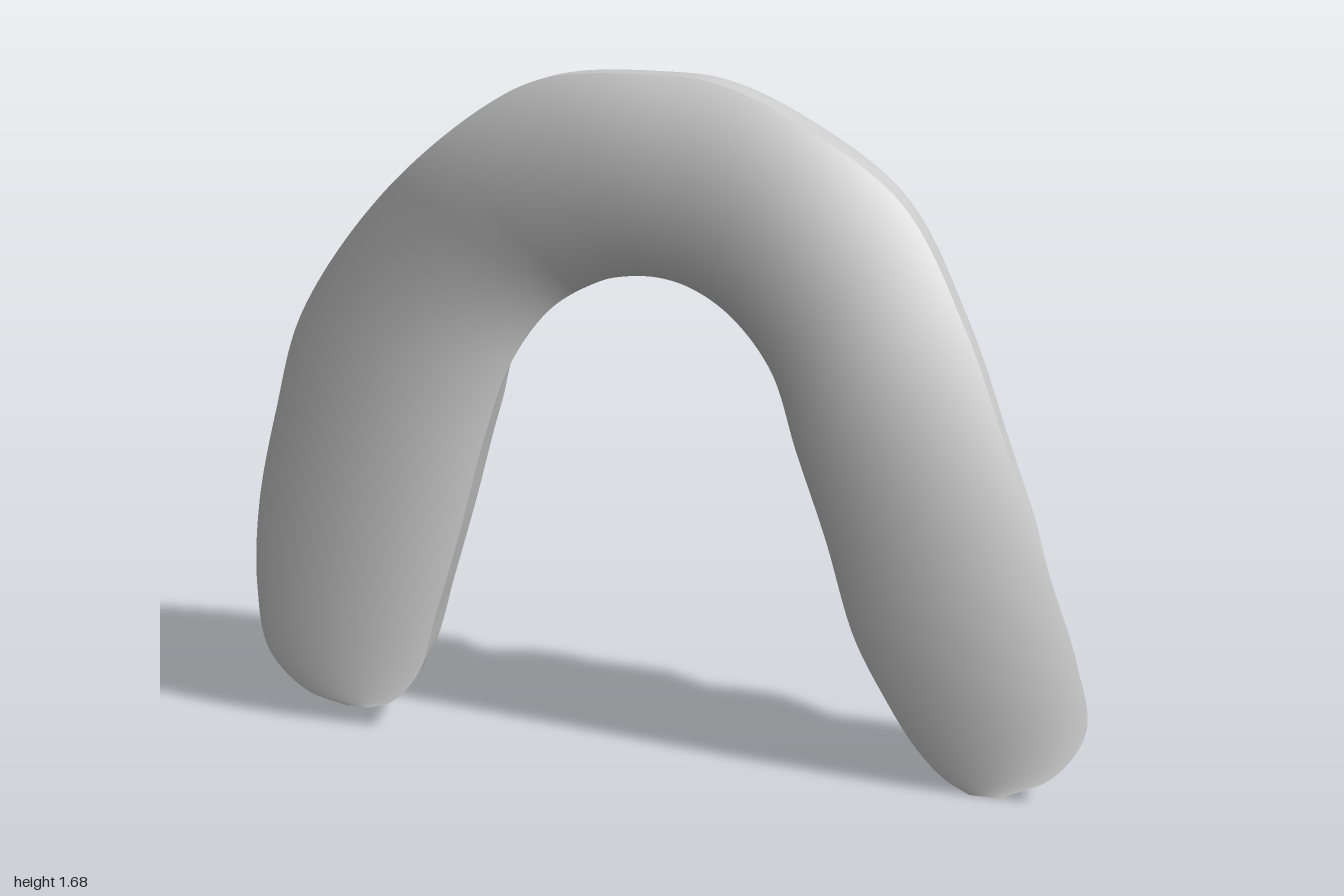
import * as THREE from 'three';

// Stations along the arch: outer rim x, y, inner rim x, y, height (z) of the ridge
const STATIONS = [
  [-0.79, 0.05, -0.73, 0.05, -0.11], [-0.89, 0.08, -0.67, 0.075, -0.12],
  [-0.98, 0.18, -0.60, 0.16, -0.135], [-1.00, 0.35, -0.55, 0.32, -0.145],
  [-0.98, 0.57, -0.48, 0.55, -0.15], [-0.92, 0.82, -0.41, 0.80, -0.15],
  [-0.84, 1.07, -0.34, 0.99, -0.135], [-0.63, 1.37, -0.24, 1.13, -0.125],
  [-0.38, 1.59, -0.13, 1.20, -0.13], [-0.24, 1.66, -0.08, 1.215, -0.13],
  [0.00, 1.68, 0.00, 1.22, -0.13], [0.13, 1.67, 0.08, 1.20, -0.14],
  [0.30, 1.60, 0.17, 1.14, -0.155], [0.54, 1.43, 0.26, 1.02, -0.17],
  [0.69, 1.15, 0.32, 0.83, -0.19], [0.80, 0.85, 0.39, 0.62, -0.20],
  [0.91, 0.55, 0.46, 0.38, -0.18], [0.97, 0.37, 0.53, 0.24, -0.17],
  [1.00, 0.20, 0.61, 0.11, -0.17], [0.93, 0.07, 0.68, 0.035, -0.165],
  [0.81, 0.00, 0.74, 0.00, -0.15],
];

// Cross-section from outer rim over the ridge to inner rim: width share, height share
const SECTION = [
  [0, 0], [0.03, 0.3], [0.09, 0.55], [0.21, 0.78], [0.38, 0.94],
  [0.56, 1], [0.76, 0.96], [0.9, 0.76], [0.97, 0.4], [1, 0],
];

// Tooth sockets: centre x, y, radius across the arch, radius along the arch
const SOCKETS = [
  [0.10, 1.51, 0.12, 0.11], [0.30, 1.43, 0.13, 0.09], [0.45, 1.20, 0.15, 0.10],
  [0.59, 0.95, 0.14, 0.11], [0.62, 0.69, 0.15, 0.14], [0.71, 0.40, 0.15, 0.16],
  [-0.26, 1.50, 0.12, 0.11], [-0.43, 1.38, 0.10, 0.09], [-0.57, 1.20, 0.12, 0.11],
  [-0.66, 0.98, 0.15, 0.12], [-0.70, 0.71, 0.17, 0.155], [-0.77, 0.41, 0.17, 0.155],
];

const { lerp, smoothstep } = THREE.MathUtils;
const rimZ = (x, y) => 0.143 - 0.047 * x + 0.02 * y;

// Larger of two values with a rounded transition
function softMax(a, b, k) {
  const h = Math.max(k - Math.abs(a - b), 0) / k;
  return Math.max(a, b) + h * h * k / 4;
}

// Hollow a rounded socket, tilted toward the outside, out of the ridge
function carve(x, y, z, crest) {
  for (const [cx, cy, across, along] of SOCKETS) {
    // Direction across the arch, fanning out from its middle
    const a = Math.atan2(Math.max(cy - 0.95, 0) * 1.4 + 0.05, cx);
    const dx = x - cx, dy = y - cy;
    const u = (dx * Math.cos(a) + dy * Math.sin(a)) / across;
    const v = (dy * Math.cos(a) - dx * Math.sin(a)) / along;
    const r2 = u * u + v * v;
    if (r2 < 1) z = Math.max(z, crest + 0.03 * u + 0.11 * Math.sqrt(1 - r2 * r2));
  }
  return z;
}

function gumGeometry(N = 480, M = 120) {
  const outer = new THREE.CatmullRomCurve3(STATIONS.map(s => new THREE.Vector3(s[0], s[1], s[4])));
  const inner = new THREE.CatmullRomCurve3(STATIONS.map(s => new THREE.Vector3(s[2], s[3], 0)));
  const section = new THREE.SplineCurve(SECTION.map(p => new THREE.Vector2(...p)));
  const profile = section.getPoints(M);
  const pos = [], index = [], ring = M + 1;

  for (let i = 0; i <= N; i++) {
    const o = outer.getPoint(i / N), n = inner.getPoint(i / N);
    // The outer wall leans in at the left end, the inner wall leans out at the top of the arch
    const leanIn = 0.3 * smoothstep(o.x, 0.85, 1);
    const leanOut = 0.15 * smoothstep(n.y, 0.8, 1.2);
    for (const p of profile) {
      const across = p.x + p.y * (leanIn * (1 - p.x) ** 2 - leanOut * p.x ** 2);
      const x = lerp(o.x, n.x, across);
      const y = lerp(o.y, n.y, across);
      const rim = rimZ(x, y);
      // Both ends of the arch slope away to the rim
      const foot = Math.max(y - (x < 0 ? 0.05 : 0), 0);
      const slope = rim - (1.1 + 0.15 * Math.sin(Math.PI * across)) * foot;
      const wall = softMax(lerp(rim, o.z, p.y), slope, 0.06);
      pos.push(x, y, Math.min(rim, carve(x, y, wall, o.z)));
    }
  }
  // The last strip of each ring closes the flat front
  for (let i = 0; i < N; i++) {
    for (let j = 0; j < ring; j++) {
      const k = (j + 1) % ring;
      const a = i * ring + j, b = a + ring, c = i * ring + k, d = c + ring;
      index.push(a, b, c, b, d, c);
    }
  }
  const geo = new THREE.BufferGeometry();
  geo.setAttribute('position', new THREE.Float32BufferAttribute(pos, 3));
  geo.setIndex(index);
  geo.computeVertexNormals();

  // Soft normals along both rims, leaning outward from the front face
  const P = geo.attributes.position, normal = geo.attributes.normal;
  for (let i = 0; i <= N; i++) {
    const a = i * ring, b = a + M;
    const d = new THREE.Vector3(P.getX(a) - P.getX(b), P.getY(a) - P.getY(b), 0).normalize();
    const s = new THREE.Vector3(d.x, d.y, 0.8).normalize();
    normal.setXYZ(a, s.x, s.y, s.z);
    normal.setXYZ(b, -s.x, -s.y, s.z);
  }
  return geo;
}

export function createModel() {
  const group = new THREE.Group();
  group.name = 'dentureBase';
  const gum = new THREE.Mesh(
    gumGeometry(),
    new THREE.MeshStandardMaterial({ color: 0xcccccc, side: THREE.DoubleSide }),
  );
  gum.name = 'gumArchWithSockets';
  group.add(gum);
  return group;
}
